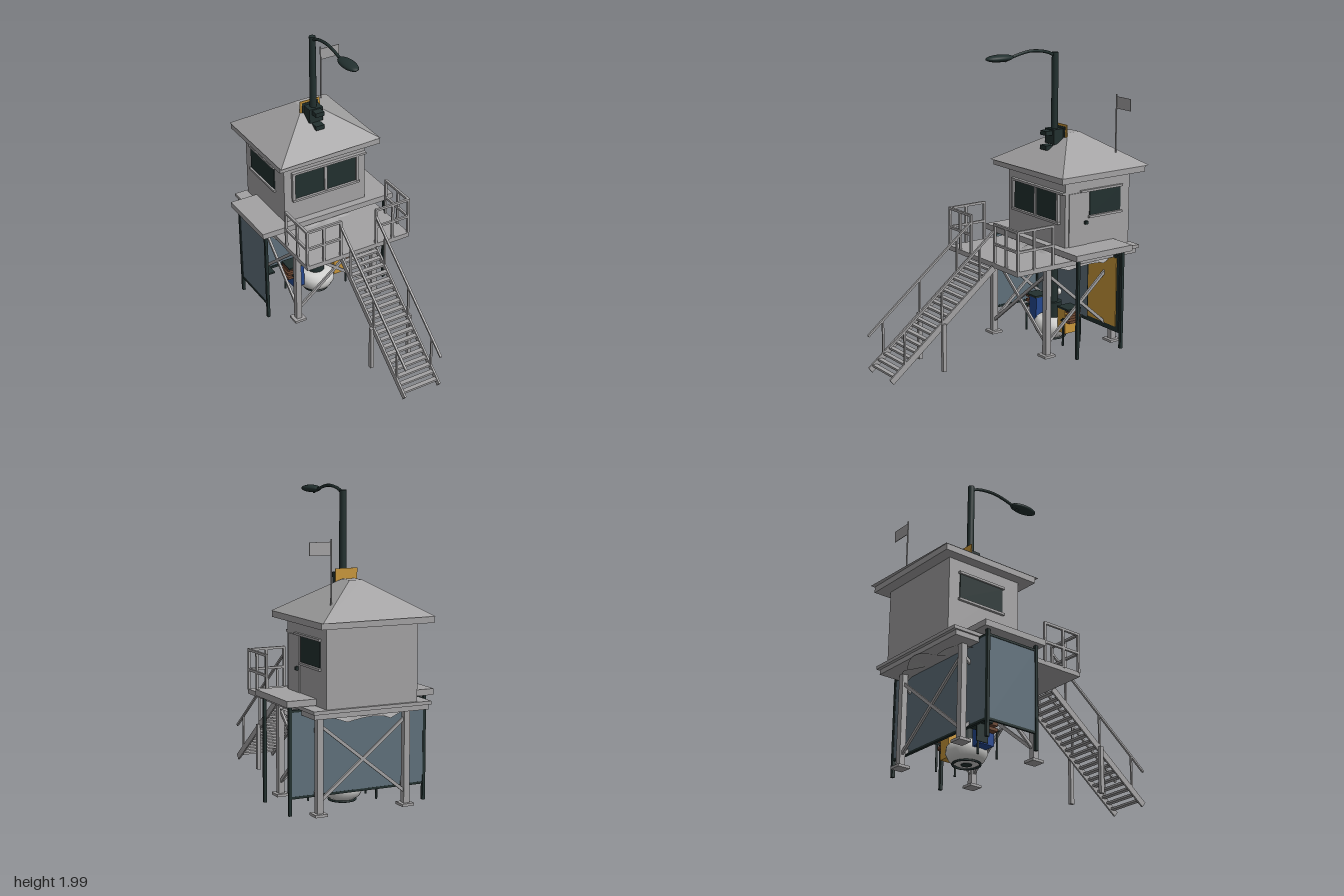
import * as THREE from 'three';

const mat = (name, color) => { const m = new THREE.MeshStandardMaterial({ color, side: THREE.DoubleSide }); m.name = name; return m; };

export function createModel() {
  const grey = mat('paintedWood', 0xa3a2a3), dark = mat('darkMetal', 0x22302f), glass = mat('blueGlass', 0x5f707b);
  const yellow = mat('yellow', 0xc8963a), blue = mat('blue', 0x24478f), white = mat('white', 0xcfcfcd), brown = mat('brown', 0x6a4530);
  const root = new THREE.Group();

  const add = (name, geo, m, x = 0, y = 0, z = 0) => {
    const mesh = new THREE.Mesh(geo, m);
    mesh.name = name;
    mesh.position.set(x, y, z);
    root.add(mesh);
    return mesh;
  };
  // Box given by its minimum and maximum on each axis
  const box = (name, m, x0, x1, y0, y1, z0, z1) =>
    add(name, new THREE.BoxGeometry(x1 - x0, y1 - y0, z1 - z0), m, (x0 + x1) / 2, (y0 + y1) / 2, (z0 + z1) / 2);
  // Straight member between two points
  const beam = (name, m, a, b, w = 0.015, h = w) => {
    const A = new THREE.Vector3(...a), B = new THREE.Vector3(...b);
    const mesh = add(name, new THREE.BoxGeometry(w, h, A.distanceTo(B)), m);
    mesh.position.copy(A).add(B).multiplyScalar(0.5);
    mesh.lookAt(B);
    return mesh;
  };
  const rod = (name, m, x, z, y0, y1, r, r2 = r) =>
    add(name, new THREE.CylinderGeometry(r2, r, y1 - y0, 16), m, x, (y0 + y1) / 2, z);

  // Deck
  box('deck', grey, -0.39, 0.39, 0.635, 0.667, -0.84, 0.14);
  box('cabinBase', grey, -0.4, 0.4, 0.668, 0.69, -0.86, -0.3);

  // Cabin
  box('cabin', grey, -0.31, 0.31, 0.69, 1.18, -0.84, -0.3);
  box('frontGlass', dark, -0.235, 0.24, 0.9, 1.09, -0.3, -0.293);
  box('windowMullion', grey, -0.01, 0.01, 0.9, 1.1, -0.3, -0.285);
  box('windowHead', grey, -0.255, 0.31, 1.09, 1.105, -0.3, -0.275);
  box('windowSill', grey, -0.255, 0.26, 0.885, 0.9, -0.3, -0.275);
  for (const x of [-0.255, 0.235]) box('windowJamb', grey, x, x + 0.02, 0.885, 1.1, -0.3, -0.28);
  for (const s of [-1, 1]) {
    const z0 = -0.76, z1 = s > 0 ? -0.5 : -0.43;
    const side = (name, m, y0, y1, a, b, t) => box(name, m, Math.min(s * 0.31, s * (0.31 + t)), Math.max(s * 0.31, s * (0.31 + t)), y0, y1, a, b);
    side('sideGlass', dark, 0.93, 1.09, z0, z1, 0.006);
    side('sideWindowHead', grey, 1.09, 1.105, z0 - 0.01, -0.42, 0.017);
    side('sideWindowSill', grey, 0.912, 0.927, z0 - 0.01, z1 + 0.01, 0.017);
  }
  box('door', grey, 0.31, 0.317, 0.7, 1.09, -0.48, -0.33);
  box('doorKnob', dark, 0.31, 0.335, 0.875, 0.897, -0.473, -0.453);

  // Roof: eave slab and a slightly skewed hipped top
  box('eaves', grey, -0.38, 0.38, 1.18, 1.222, -0.915, -0.22);
  const hip = new THREE.BoxGeometry(2, 0.21, 2), p = hip.attributes.position;
  for (let i = 0; i < p.count; i++) {
    const up = p.getY(i) > 0, x = p.getX(i) * (up ? 0.045 : 0.384), z = p.getZ(i) * (up ? 0.05 : 0.363);
    p.setXYZ(i, x, p.getY(i), z - 0.03 * x);
  }
  hip.computeVertexNormals();
  add('hipRoof', hip, grey, 0, 1.325, -0.57);

  // Flag
  rod('flagPole', grey, 0.245, -0.77, 1.25, 1.695, 0.005);
  box('flag', grey, 0.248, 0.388, 1.6, 1.68, -0.772, -0.768);

  // Tower legs, feet and cross bracing
  const LX = 0.3, ZF = -0.165, ZB = -0.72;
  for (const x of [-LX, LX]) {
    for (const z of [ZF, ZB]) {
      box('towerLeg', grey, x - 0.02, x + 0.02, 0.02, 0.64, z - 0.02, z + 0.02);
      box('footPad', grey, x - 0.042, x + 0.042, 0.015, 0.032, z - 0.042, z + 0.042);
    }
    beam('sideBrace', grey, [x, 0.1, ZF], [x, 0.58, ZB], 0.015, 0.02);
    beam('sideBrace', grey, [x, 0.58, ZF], [x, 0.1, ZB], 0.015, 0.02);
  }
  for (const z of [ZF, ZB]) {
    beam('crossBrace', grey, [-LX, 0.1, z], [LX, 0.58, z], 0.015, 0.02);
    beam('crossBrace', grey, [-LX, 0.58, z], [LX, 0.1, z], 0.015, 0.02);
  }

  // Stairs
  const stairY = z => 0.64 - (z - 0.14) * 0.785;
  const N = 19;
  for (let i = 0; i < N; i++) {
    const z = 0.16 + i * 0.0405;
    box('tread', grey, -0.125, 0.125, stairY(z) - 0.006, stairY(z) + 0.008, z - 0.016, z + 0.016);
  }
  for (const x of [-0.131, 0.131]) {
    beam('stringer', grey, [x, 0.635, 0.14], [x, 0.025, 0.92], 0.012, 0.042);
    beam('stairRail', grey, [x, 0.88, 0.14], [x, 0.255, 0.93], 0.014);
    for (const z of [0.25, 0.54, 0.82]) box('stairBaluster', grey, x - 0.006, x + 0.006, stairY(z) - 0.01, stairY(z) + 0.235, z - 0.006, z + 0.006);
    const o = x * 1.1;
    box('stairLeg', grey, o - 0.012, o + 0.012, 0.018, 0.335, 0.522, 0.55);
  }

  // Deck railing
  for (const s of [-1, 1]) {
    for (const [x, z] of [[0.135, 0.133], [0.262, 0.133], [0.385, 0.133], [0.385, 0.005], [0.385, -0.145]])
      box('railPost', grey, s * x - 0.008, s * x + 0.008, 0.66, 0.93, z - 0.008, z + 0.008);
    for (const y of [0.795, 0.925]) {
      beam('frontRail', grey, [s * 0.13, y, 0.133], [s * 0.392, y, 0.133], 0.016);
      beam('sideRail', grey, [s * 0.385, y, 0.14], [s * 0.385, y, -0.15], 0.016);
    }
  }

  // Scalloped parasol
  const canopy = new THREE.ConeGeometry(0.41, 0.17, 64, 8, true), c = canopy.attributes.position;
  for (let i = 0; i < c.count; i++) {
    const x = c.getX(i), z = c.getZ(i), r = Math.hypot(x, z) / 0.41;
    const rib = Math.abs(Math.cos(4 * Math.atan2(x, z)));
    const k = 1 - 0.06 * r * (1 - rib);
    c.setXYZ(i, x * k, c.getY(i) - 0.035 * r * (1 - rib) - 0.03 * Math.sin(Math.PI * r) + 0.01, z * k);
  }
  canopy.computeVertexNormals();
  add('parasol', canopy, grey, 0, 0.705, -0.445);

  // Shelter
  box('shelterRoof', grey, -0.505, 0.505, 0.695, 0.735, -0.71, -0.245);
  for (const x of [-0.465, 0.465]) for (const z of [-0.29, -0.66])
    box('shelterPost', dark, x - 0.01, x + 0.01, 0.018, 0.705, z - 0.01, z + 0.01);
  box('backGlass', glass, -0.455, 0.455, 0.13, 0.66, -0.667, -0.66);
  box('sideGlassPanel', glass, -0.468, -0.462, 0.13, 0.66, -0.65, -0.3);
  for (const y of [0.122, 0.655]) {
    box('backFrame', dark, -0.46, 0.46, y, y + 0.015, -0.668, -0.65);
    box('sideFrame', dark, -0.472, -0.458, y, y + 0.015, -0.66, -0.29);
  }
  box('posterFrame', dark, 0.12, 0.452, 0.137, 0.65, -0.66, -0.648);
  box('poster', yellow, 0.135, 0.425, 0.16, 0.635, -0.648, -0.643);
  box('bench', dark, -0.41, -0.26, 0.137, 0.15, -0.655, -0.57);
  box('benchEnd', dark, -0.365, -0.358, 0.025, 0.14, -0.655, -0.57);

  // Round pot with ring, and a table top around the post
  const pot = [[0, 0.022], [0.07, 0.025], [0.11, 0.05], [0.13, 0.09], [0.125, 0.13], [0.1, 0.16], [0, 0.175]];
  add('pot', new THREE.LatheGeometry(pot.map(q => new THREE.Vector2(...q)), 32), white, 0, 0, -0.445);
  const ring = add('potRing', new THREE.TorusGeometry(0.085, 0.007, 8, 32), dark, 0, 0.025, -0.445);
  ring.rotation.x = Math.PI / 2;
  rod('collar', dark, 0, -0.445, 0.16, 0.27, 0.06);
  for (const z of [-0.4, -0.49]) add('globe', new THREE.SphereGeometry(0.025, 16, 12), white, 0, 0.325, z);

  // Pair of chairs with slatted outer backs
  for (const s of [-1, 1]) {
    const m = s < 0 ? blue : yellow;
    const span = (name, mm, a, b, ...r) => box(name, mm, Math.min(s * a, s * b), Math.max(s * a, s * b), ...r);
    span('chairBody', m, 0.12, 0.2, 0.095, 0.262, -0.495, -0.395);
    for (let i = 0; i < 3; i++) span('chairSlat', brown, 0.2, 0.245, 0.175 + i * 0.035, 0.195 + i * 0.035, -0.49, -0.4);
    span('chairRail', dark, 0.12, 0.24, 0.262, 0.275, -0.5, -0.39);
    for (const z of [-0.375, -0.52]) rod('chairLeg', dark, s * 0.205, z, 0.018, 0.21, 0.007);
    beam('chairArm', dark, [s * 0.205, 0.2, -0.36], [s * 0.205, 0.2, -0.54], 0.012);
  }

  // Street lamp
  rod('lampBase', dark, 0, -0.445, 0.02, 0.68, 0.035);
  rod('lampPost', dark, 0, -0.445, 0.68, 1.97, 0.026, 0.022);
  const arm = new THREE.CatmullRomCurve3([[-0.445, 1.945], [-0.38, 1.975], [-0.25, 1.992], [-0.14, 1.975], [-0.04, 1.945]].map(([z, y]) => new THREE.Vector3(0, y, z)));
  add('lampArm', new THREE.TubeGeometry(arm, 24, 0.01, 8), dark);
  const head = add('lampHead', new THREE.SphereGeometry(1, 24, 16), dark, 0, 1.965, 0);
  head.scale.set(0.047, 0.024, 0.105);

  // Signal box and its backing plate
  box('signalBox', dark, -0.05, 0.05, 1.365, 1.465, -0.48, -0.405);
  for (const y of [1.345, 1.442]) box('signalHood', dark, -0.032, 0.032, y - 0.015, y + 0.015, -0.42, -0.352);
  box('signalPlate', yellow, -0.075, 0.075, 1.395, 1.492, -0.495, -0.489);
  box('signalPlateFace', dark, -0.06, 0.06, 1.405, 1.478, -0.489, -0.485);
  return root;
}
